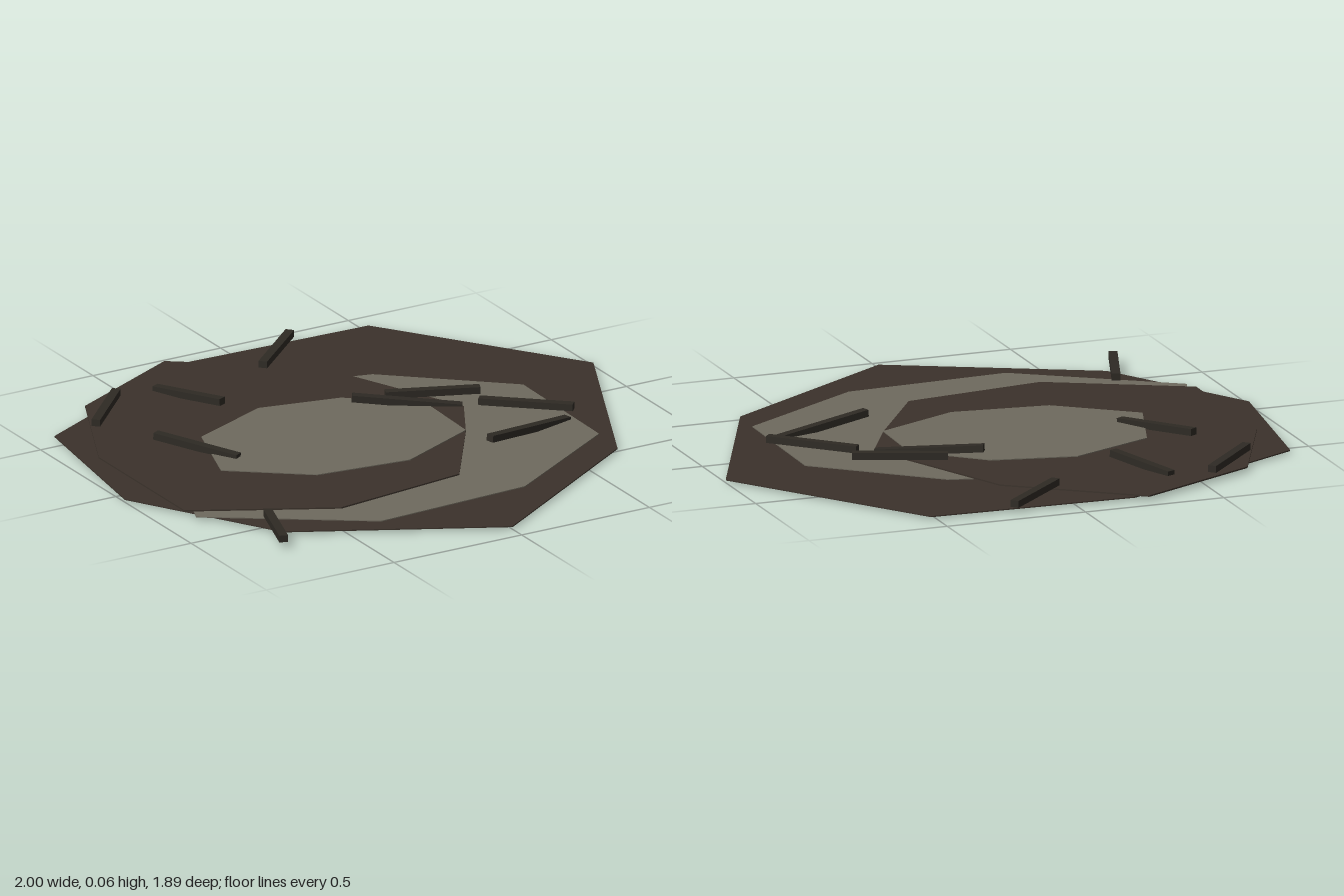
import * as THREE from 'three';

const mat = (name, color) => {
  const m = new THREE.MeshStandardMaterial({ color });
  m.name = name;
  return m;
};

export function createModel() {
  const group = new THREE.Group();
  const soil = mat('dark soil', 0x3b322b);
  const ash = mat('grey ash', 0x6e6a5e);
  const charred = mat('charred wood', 0x2e2a24);

  // Thin polygonal sheet lying flat; outline given as [x, z]
  const sheet = (name, material, bottom, thickness, outline) => {
    const shape = new THREE.Shape(outline.map(([x, z]) => new THREE.Vector2(x, -z)));
    const geo = new THREE.ExtrudeGeometry(shape, { depth: thickness, bevelEnabled: false });
    geo.rotateX(-Math.PI / 2);
    const mesh = new THREE.Mesh(geo, material);
    mesh.name = name;
    mesh.position.y = bottom;
    group.add(mesh);
  };

  // Stacked ground layers, lowest first
  sheet('groundPatch', soil, 0.009, 0.004, [
    [-0.91, -0.56], [-0.21, -0.92], [0.52, -0.9], [1, -0.22],
    [0.67, 0.5], [0, 0.94], [-0.69, 0.59], [-1, 0.06],
  ]);
  sheet('outerAsh', ash, 0.013, 0.003, [
    [-0.88, 0.33], [-0.36, 0.68], [0.22, 0.65], [0.68, 0.36], [0.69, -0.16],
    [0.3, -0.5], [0.22, -0.52], [-0.3, -0.55], [-0.75, -0.2], [-0.86, 0.28],
  ]);
  sheet('innerSoil', soil, 0.016, 0.005, [
    [-0.89, 0.27], [-0.42, 0.515], [0.08, 0.45], [0.3, 0.12], [0.41, -0.08],
    [0.17, -0.64], [-0.25, -0.95], [-0.69, -0.73], [-0.89, -0.3],
  ]);
  sheet('innerAsh', ash, 0.021, 0.003, [
    [-0.5, -0.28], [-0.2, -0.41], [0.09, -0.35], [0.31, -0.15],
    [0.3, 0.12], [0, 0.26], [-0.34, 0.22], [-0.6, 0.02],
  ]);

  // Scattered sticks: start and end points of each centre line
  const sticks = [
    [0, 0.036, -0.72, 0.23, 0.034, -0.93],
    [-0.76, 0.037, -0.54, -0.55, 0.034, -0.76],
    [-0.41, 0.025, -0.74, -0.3, 0.044, -0.48],
    [-0.65, 0.043, -0.33, -0.49, 0.025, -0.05],
    [0.09, 0.048, -0.28, 0.41, 0.016, -0.09],
    [0.22, 0.034, -0.28, 0.52, 0.034, -0.16],
    [0.47, 0.03, -0.08, 0.71, 0.034, 0.14],
    [0.3, 0.048, 0.28, 0.66, 0.013, 0.185],
    [-0.67, 0.03, 0.45, -0.755, 0.036, 0.7],
  ];
  sticks.forEach(([ax, ay, az, bx, by, bz], i) => {
    const a = new THREE.Vector3(ax, ay, az);
    const b = new THREE.Vector3(bx, by, bz);
    const stick = new THREE.Mesh(new THREE.BoxGeometry(0.03, 0.024, a.distanceTo(b)), charred);
    stick.name = `stick${i + 1}`;
    stick.position.copy(a).lerp(b, 0.5);
    stick.lookAt(b);
    group.add(stick);
  });

  return group;
}
